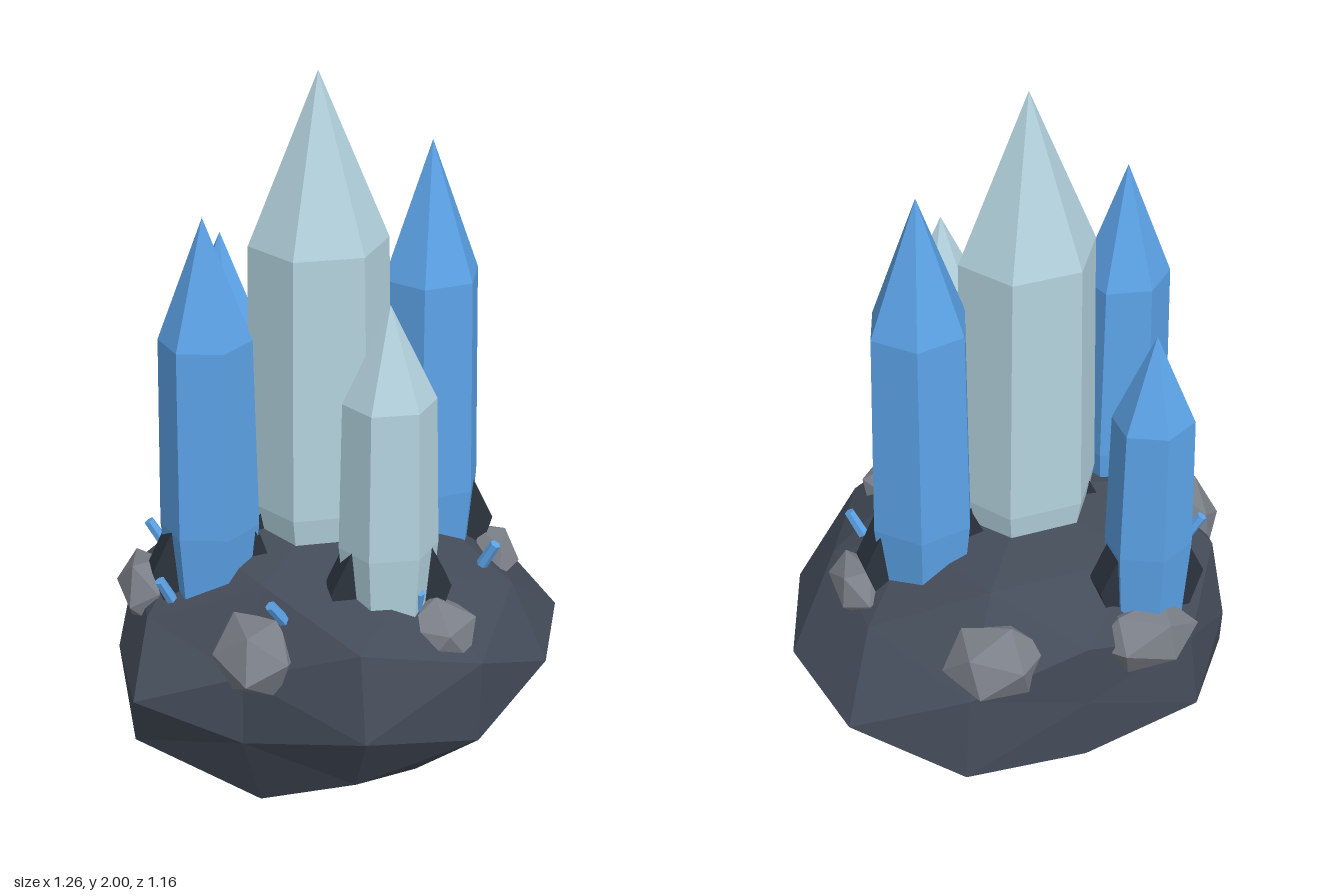
import * as THREE from 'three';

const mat = (color) => new THREE.MeshStandardMaterial({ color, flatShading: true });
const rockMat = mat(0x444c59), stoneMat = mat(0x7b7f87), shardMat = mat(0x2c343e);
const blueMat = mat(0x5ca3e8), paleMat = mat(0xb4d3df);

function add(parent, name, geometry, material, x = 0, y = 0, z = 0) {
  const mesh = new THREE.Mesh(geometry, material);
  mesh.name = name;
  mesh.position.set(x, y, z);
  parent.add(mesh);
  return mesh;
}

// Boulder radii by height of the sphere ring (percent), each ring running from +x towards +z
const ringRadii = {
  100: [0.58],
  85: [0.56, 0.6],
  81: [0.58, 0.58, 0.6, 0.6],
  53: [0.67, 0.56],
  50: [0.55, 0.55, 0.54, 0.56],
  31: [0.605, 0.5, 0.55, 0.6],
  0: [0.6, 0.59, 0.64, 0.585, 0.5, 0.51, 0.48, 0.65],
  '-31': [0.6, 0.505, 0.58, 0.63],
  '-50': [0.56, 0.6, 0.58, 0.55],
  '-53': [0.6, 0.56],
  '-81': [0.6, 0.65, 0.57, 0.58],
  '-85': [0.49, 0.62],
  '-100': [0.55],
};

// Subdivided icosahedron, flattened and pushed in and out into an uneven boulder
function boulderGeometry() {
  const geo = new THREE.IcosahedronGeometry(1, 1);
  const pos = geo.attributes.position;
  const ringOf = (i) => Math.round(pos.getY(i) * 100) + 0;
  const angleOf = (i) => {
    const a = Math.atan2(pos.getZ(i), pos.getX(i));
    return Math.round(((a + 2 * Math.PI + 0.01) % (2 * Math.PI)) * 50);
  };
  const rings = {};
  for (let i = 0; i < pos.count; i++) (rings[ringOf(i)] ??= new Set()).add(angleOf(i));
  for (const key in rings) rings[key] = [...rings[key]].sort((a, b) => a - b);
  const radii = [];
  for (let i = 0; i < pos.count; i++) {
    const ring = ringOf(i);
    const list = ringRadii[ring];
    radii.push(list[Math.min(rings[ring].indexOf(angleOf(i)), list.length - 1)]);
  }
  radii.forEach((r, i) => pos.setXYZ(i,
    -0.06 + pos.getX(i) * r * 1.15,
    Math.max(0, 0.36 + pos.getY(i) * r * 0.65),
    -0.06 + pos.getZ(i) * r));
  geo.computeVertexNormals();
  return geo;
}

// Six-sided column: narrow foot, straight body, pointed tip
function crystalGeometry(r, foot, shoulder, tip, turn, depth) {
  const profile = [[0, foot], [r * 0.84, foot], [r, 0.78], [r * 0.93, shoulder], [0, tip]]
    .map(([x, y]) => new THREE.Vector2(x, y));
  return new THREE.LatheGeometry(profile, 6)
    .rotateY(Math.PI / 6 + turn)
    .scale(1, 1, depth);
}

// Bent wedge that leans against the foot of a crystal
function shardGeometry() {
  const shape = new THREE.Shape(
    [[-0.04, -0.06], [0.045, -0.06], [0.08, 0.05], [0.02, 0.18], [-0.02, 0.13]]
      .map(([x, y]) => new THREE.Vector2(x, y)));
  return new THREE.ExtrudeGeometry(shape, { depth: 0.08, bevelEnabled: false }).translate(0, 0, -0.04);
}

export function createModel() {
  const model = new THREE.Group();
  model.name = 'crystalCluster';

  add(model, 'boulder', boulderGeometry(), rockMat);

  // Crystals with a shard on either side: x, z, radius, foot, shoulder, tip, turn, depth
  const crystals = [
    ['centreCrystal', paleMat, -0.06, -0.06, 0.205, 0.6, 1.53, 2.0, 0, 0.86],
    ['leftCrystal', blueMat, 0.255, -0.1, 0.15, 0.55, 1.4, 1.78, 0.2, 0.92],
    ['rightCrystal', blueMat, -0.385, 0.05, 0.135, 0.55, 1.32, 1.66, -0.25, 0.9],
    ['backCrystal', blueMat, -0.275, -0.415, 0.12, 0.5, 1.18, 1.44, Math.PI / 6, 0.88],
    ['frontCrystal', paleMat, 0.065, 0.265, 0.135, 0.55, 1.2, 1.47, -0.05, 0.86],
  ];
  const shard = shardGeometry();
  for (const [name, material, x, z, r, foot, shoulder, tip, turn, depth] of crystals) {
    add(model, name, crystalGeometry(r, foot, shoulder, tip, turn, depth), material, x, 0, z);
    const reach = name === 'centreCrystal' ? 0.125 : r - 0.05;
    const height = name === 'centreCrystal' ? 0.64 : 0.61;
    for (const side of [1, -1]) {
      const mesh = add(model, name + 'Shard', shard, shardMat, x + side * reach, height, z);
      if (side < 0) mesh.rotation.y = Math.PI;
    }
  }

  // Loose stones half sunk into the boulder: centre, half sizes, turn
  const stones = [
    [-0.305, 0.51, 0.31, 0.115, 0.11, 0.15, 0.3],
    [0.185, 0.53, 0.32, 0.115, 0.1, 0.125, 1.0],
    [-0.55, 0.54, -0.06, 0.08, 0.095, 0.145, 0.1],
    [0.18, 0.53, -0.46, 0.14, 0.1, 0.13, 0.7],
    [-0.245, 0.51, -0.49, 0.145, 0.1, 0.095, 0.2],
    [0.435, 0.55, -0.06, 0.07, 0.07, 0.125, 0.5],
  ];
  for (const [x, y, z, sx, sy, sz, turn] of stones) {
    const geo = new THREE.IcosahedronGeometry(1.05, 0).rotateX(turn).rotateY(turn * 2).scale(sx, sy, sz);
    add(model, 'stone', geo, stoneMat, x, y, z);
  }

  // Small crystal splinters leaning outwards
  const splinter = new THREE.CylinderGeometry(0.015, 0.017, 0.08, 6);
  const up = new THREE.Vector3(0, 1, 0);
  const splinters = [
    [-0.5, 0.62, -0.23, -0.6, -0.2], [0.385, 0.63, 0.1, 0.45, 0.3], [-0.245, 0.63, 0.32, -0.7, 0.2],
    [-0.515, 0.61, 0.1, -0.5, 0.1], [0.13, 0.63, 0.33, 0.1, 0.3],
  ];
  for (const [x, y, z, dx, dz] of splinters) {
    add(model, 'splinter', splinter, blueMat, x, y, z)
      .quaternion.setFromUnitVectors(up, new THREE.Vector3(dx, 1, dz).normalize());
  }

  return model;
}
